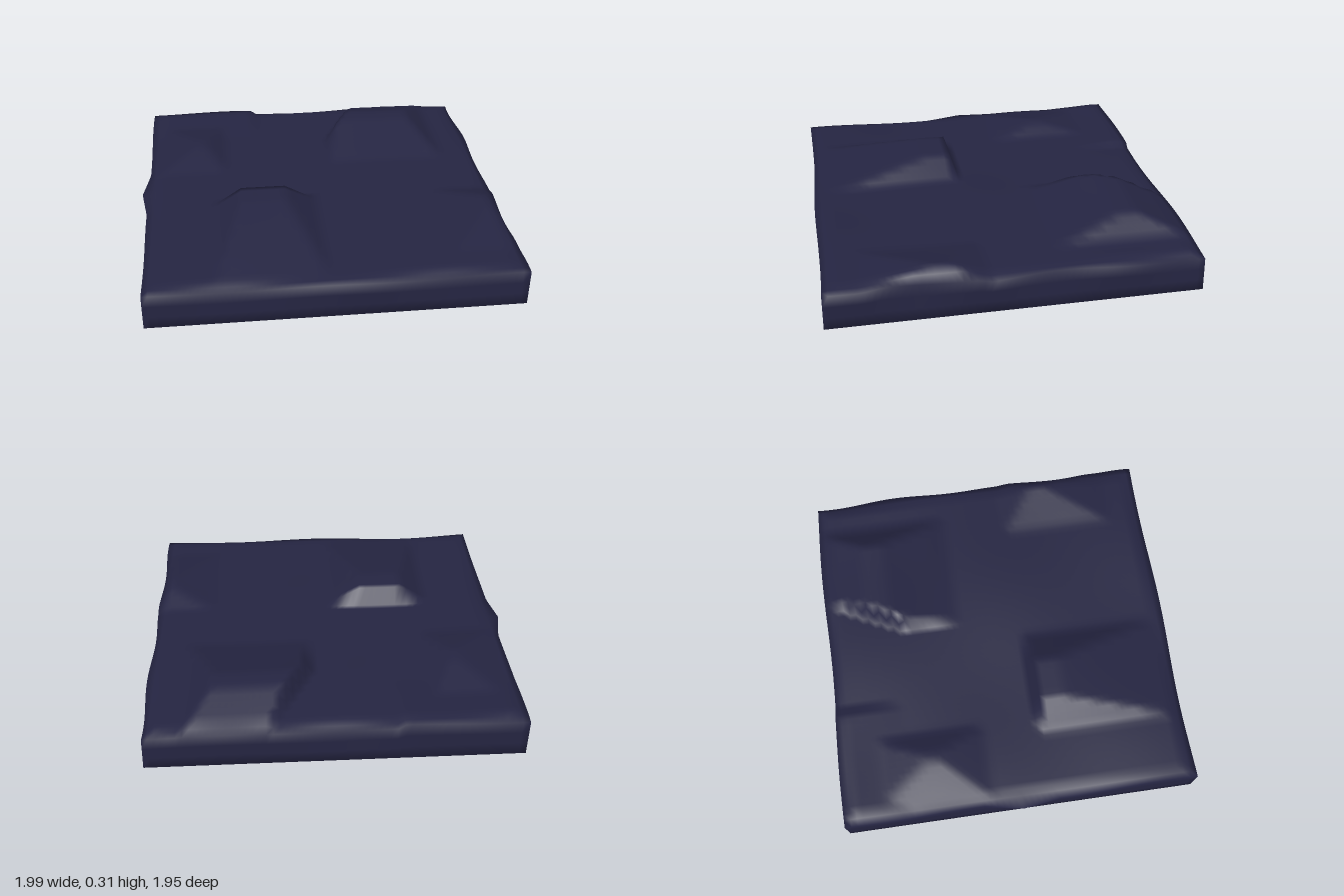
import * as THREE from 'three';
import { mergeVertices } from 'three/addons/utils/BufferGeometryUtils.js';

const clamp = (t) => Math.min(1, Math.max(0, t));

// Raised rock plates: extents, the slope width on each side, and the rise.
// A narrow slope makes a broken cliff edge; lean skews the left edge.
const plates = [
  { x: [-0.6, -0.03], z: [0.14, 0.9], sx: [0.15, 0.18], sz: [0.03, 0.58], rise: 0.1 },
  { x: [0.12, 0.78], z: [-0.97, -0.22], sx: [0.03, 0.15], sz: [0.26, 0.38], rise: 0.1, lean: 0.5 },
  { x: [0.64, 1.0], z: [0.14, 0.78], sx: [0.28, 0.09], sz: [0.2, 0.4], rise: 0.065 },
  { x: [-0.92, -0.52], z: [-0.8, -0.16], sx: [0.22, 0.12], sz: [0.3, 0.25], rise: 0.055 },
  { x: [-1.2, -0.32], z: [-1.2, -0.6], sx: [0.1, 0.03], sz: [0.1, 0.3], rise: 0.025 },
];

function topHeight(x, z) {
  let raised = 0;
  for (const p of plates) {
    const left = p.x[0] + (p.lean || 0) * Math.max(0, -0.53 - z);
    const t = Math.min(
      (x - left) / p.sx[0], (p.x[1] - x) / p.sx[1],
      (z - p.z[0]) / p.sz[0], (p.z[1] - z) / p.sz[1]);
    raised = Math.max(raised, p.rise * clamp(t));
  }
  const ripple = 0.006 * Math.sin(5 * x + 2 * z) * Math.cos(4 * z - x);
  // Worn rim
  const edge = Math.min(0.98 - Math.abs(x), 0.975 - Math.abs(z));
  const wear = 0.02 * (1 - clamp(edge / 0.07)) * (1 + 0.5 * Math.sin(6 * x + 5 * z));
  return 0.207 + raised + ripple - wear;
}

export function createModel() {
  const model = new THREE.Group();
  const stone = new THREE.MeshStandardMaterial({ color: 0x252542 });
  stone.name = 'dark blue stone';

  let geo = new THREE.BoxGeometry(1.95, 1, 1.94, 56, 3, 56);
  geo.deleteAttribute('normal');
  geo.deleteAttribute('uv');
  geo = mergeVertices(geo, 1e-4);

  const pos = geo.attributes.position;
  for (let i = 0; i < pos.count; i++) {
    const x = pos.getX(i), z = pos.getZ(i);
    const level = pos.getY(i) + 0.5;
    let nx = x + 0.01, nz = z;
    // Uneven side walls, swelling towards the rim
    if (x < -0.97) nx -= level * (0.035 * clamp(1 - Math.abs(z) / 0.2) + 0.005 * Math.sin(6 * z));
    if (x > 0.97) nx += level * (0.008 * Math.sin(9 * z) - 0.002);
    if (Math.abs(z) > 0.965) nz += Math.sign(z) * level * 0.006 * Math.sin(5 * x + z);
    pos.setXYZ(i, nx, level * topHeight(x, z), nz);
  }
  geo.computeVertexNormals();

  const slab = new THREE.Mesh(geo, stone);
  slab.name = 'rockSlab';
  model.add(slab);
  return model;
}
